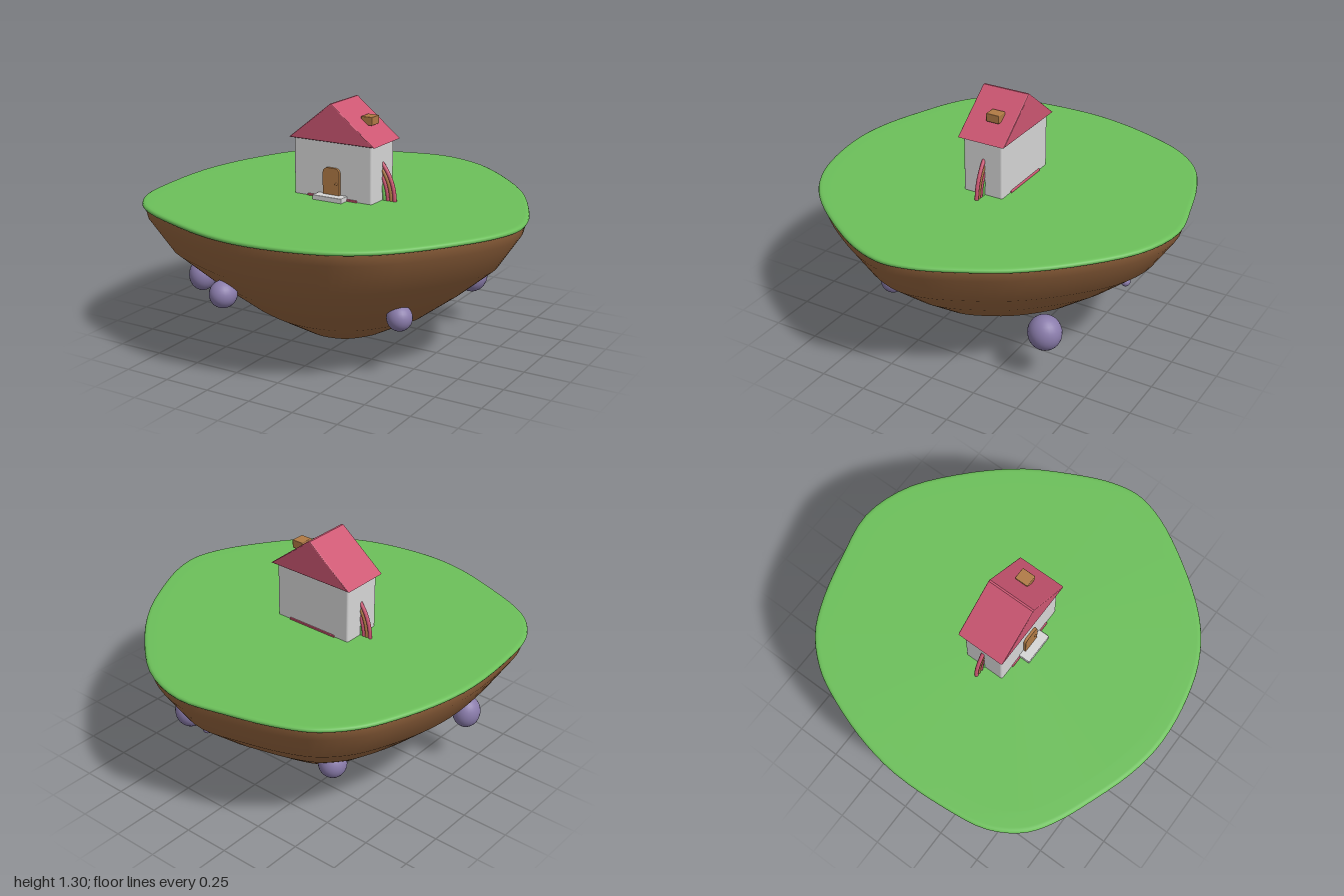
import * as THREE from 'three';
import { RoundedBoxGeometry } from 'three/addons/geometries/RoundedBoxGeometry.js';

const mat = (name, color) => new THREE.MeshStandardMaterial({ name, color });

// Island outline as x, z pairs
const OUTLINE = [
  0.02, -1, 0.27, -0.93, 0.51, -0.75, 0.74, -0.5, 0.89, -0.24, 0.97, -0.05, 0.995, 0.11,
  0.95, 0.28, 0.83, 0.49, 0.67, 0.70, 0.54, 0.82, 0.38, 0.91, 0.16, 0.97, -0.08, 0.99,
  -0.29, 0.96, -0.53, 0.88, -0.72, 0.80, -0.85, 0.71, -0.95, 0.55, -0.99, 0.32, -1, 0,
  -0.96, -0.24, -0.88, -0.48, -0.80, -0.64, -0.66, -0.79, -0.48, -0.88, -0.24, -0.95,
];
const CENTER = { x: -0.05, z: 0.03 };

// Skin over scaled copies of the outline; rings are [scale, y], listed from the bottom
function loft(rings, segments = 96) {
  const points = [];
  for (let i = 0; i < OUTLINE.length; i += 2) points.push(new THREE.Vector3(OUTLINE[i], 0, OUTLINE[i + 1]));
  const curve = new THREE.CatmullRomCurve3(points, true);
  const positions = [], index = [];
  for (const [s, y] of rings) {
    for (let i = 0; i < segments; i++) {
      const p = curve.getPoint(i / segments);
      positions.push(CENTER.x + (p.x - CENTER.x) * s, y, CENTER.z + (p.z - CENTER.z) * s);
    }
  }
  for (let k = 0; k < rings.length - 1; k++) {
    for (let i = 0; i < segments; i++) {
      const j = (i + 1) % segments;
      const a = k * segments + i, b = k * segments + j;
      const c = a + segments, d = b + segments;
      index.push(a, c, b, b, c, d);
    }
  }
  const geometry = new THREE.BufferGeometry();
  geometry.setAttribute('position', new THREE.Float32BufferAttribute(positions, 3));
  geometry.setIndex(index);
  geometry.computeVertexNormals();
  return geometry;
}

export function createModel() {
  const model = new THREE.Group();
  model.name = 'floatingIsland';
  const grass = mat('grass', 0x6cc05a);
  const dirt = mat('dirt', 0x9a6840);
  const rock = mat('rock', 0x8a7cab);
  const wall = mat('wall', 0xd6d6d6);
  const pink = mat('pink', 0xcc5672);
  const wood = mat('wood', 0xb07a45);

  const add = (name, geometry, material, parent = model) => {
    const mesh = new THREE.Mesh(geometry, material);
    mesh.name = name;
    parent.add(mesh);
    return mesh;
  };
  // Rounded box from its minimum and maximum corners
  const block = (name, min, max, material, parent, radius = 0.004) => {
    const size = max.map((v, i) => v - min[i]);
    const mesh = add(name, new RoundedBoxGeometry(...size, 2, radius), material, parent);
    mesh.position.set(...max.map((v, i) => (v + min[i]) / 2));
    return mesh;
  };

  // Island: earth cone and grass cap
  add('earth', loft([[0, 0.002], [0.217, 0.063], [0.455, 0.2], [0.67, 0.37], [0.86, 0.54], [0.975, 0.72], [0.988, 0.782]]), dirt);
  add('grassCap', loft([[0.983, 0.774], [0.996, 0.778], [1, 0.786], [0.997, 0.795], [0.988, 0.799], [0.975, 0.8], [0.9, 0.8], [0, 0.8]]), grass);

  // Rocks set into the underside: position, radii
  const rocks = [
    [-0.73, 0.335, 0.38, 0.073, 0.088, 0.078],
    [-0.35, 0.395, 0.71, 0.072, 0.072, 0.075],
    [0.495, 0.33, 0.4, 0.066, 0.068, 0.066],
    [0.46, 0.283, -0.495, 0.085, 0.095, 0.09],
    [-0.45, 0.3, -0.4, 0.075, 0.08, 0.075],
    [0.08, 0.46, -0.75, 0.026, 0.026, 0.026],
  ];
  for (const [x, y, z, rx, ry, rz] of rocks) {
    const mesh = add('rock', new THREE.SphereGeometry(1, 24, 16), rock);
    mesh.position.set(x, y, z);
    mesh.scale.set(rx, ry, rz);
  }

  // House body, base and step
  const house = new THREE.Group();
  house.name = 'house';
  model.add(house);
  block('walls', [-0.285, 0.79, -0.085], [0.185, 1.11, 0.144], wall, house, 0.012);
  block('base', [-0.2, 0.795, -0.092], [0.1, 0.81, 0.151], pink, house);
  block('doorStep', [-0.135, 0.795, 0.13], [0.04, 0.825, 0.205], wall, house);

  // Gable roof with softened edges
  const bevel = 0.006;
  const gable = new THREE.Shape();
  gable.moveTo(-0.298, 1.106);
  gable.lineTo(0.202, 1.106);
  gable.lineTo(-0.045, 1.298);
  gable.lineTo(-0.051, 1.298);
  gable.closePath();
  const roof = add('roof', new THREE.ExtrudeGeometry(gable, {
    depth: 0.27 - 2 * bevel, bevelThickness: bevel, bevelSize: bevel, bevelSegments: 2,
  }), pink, house);
  roof.position.z = -0.108 + bevel;
  block('chimney', [0.062, 1.187, -0.032], [0.128, 1.232, 0.043], wood, house);

  // Door with rounded top corners, and its knob
  const door = new THREE.Shape();
  door.moveTo(-0.1, 0.8);
  door.lineTo(0, 0.8);
  door.lineTo(0, 0.935);
  door.quadraticCurveTo(0, 0.967, -0.032, 0.967);
  door.lineTo(-0.068, 0.967);
  door.quadraticCurveTo(-0.1, 0.967, -0.1, 0.935);
  door.closePath();
  add('door', new THREE.ExtrudeGeometry(door, { depth: 0.018, bevelEnabled: false }), wood, house).position.z = 0.14;
  add('doorKnob', new THREE.SphereGeometry(0.007, 12, 8), wood, house).position.set(-0.018, 0.885, 0.16);

  // Rainbow arching through the house
  const rainbow = new THREE.Group();
  rainbow.name = 'rainbow';
  rainbow.position.set(-0.045, 0.795, 0.025);
  model.add(rainbow);
  [pink, wood, pink, grass].forEach((material, i) => {
    add('rainbowBand', new THREE.TorusGeometry(0.3 - i * 0.02, 0.0105, 10, 48, Math.PI), material, rainbow);
  });
  return model;
}
